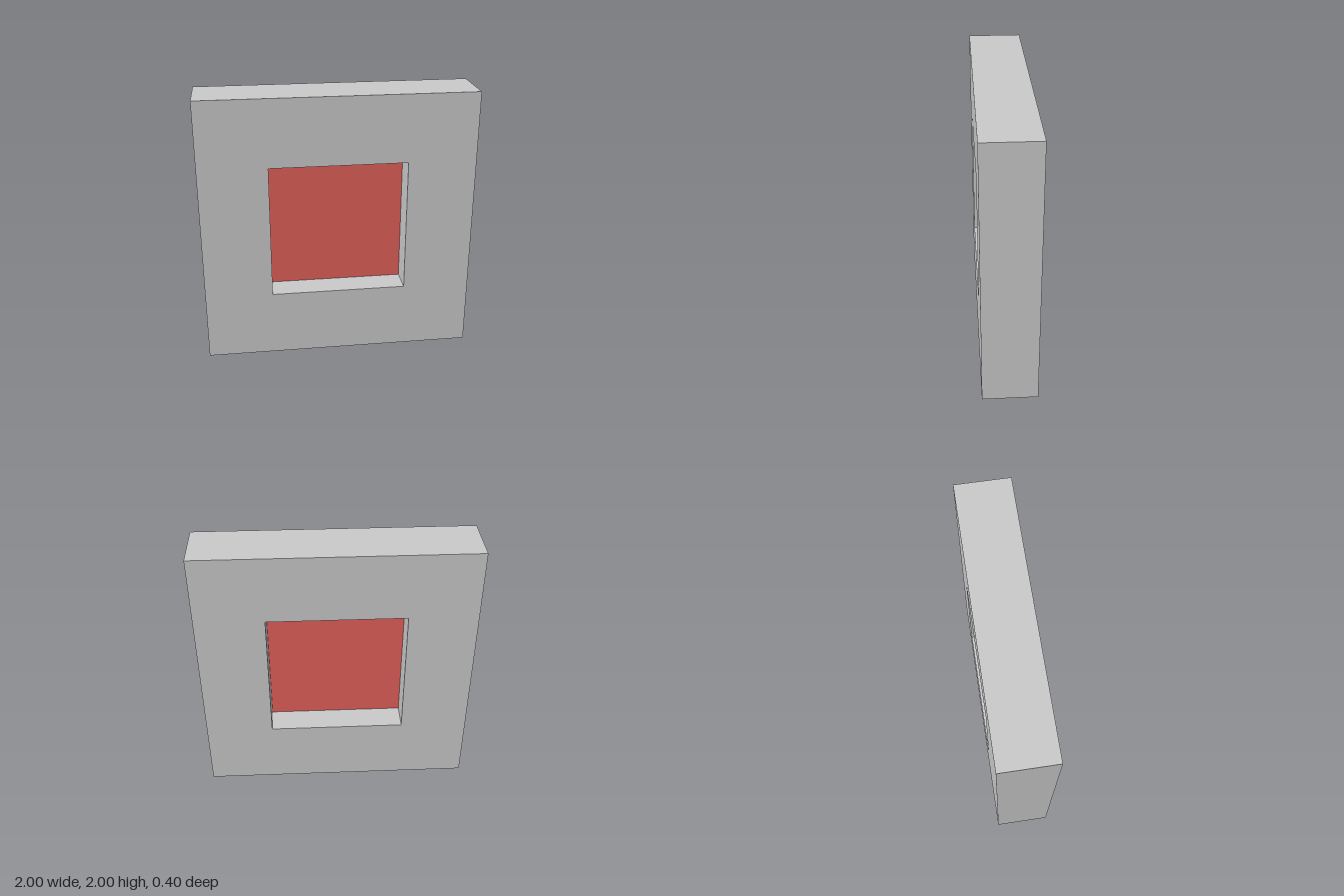
import * as THREE from 'three';

const SIZE = 2, DEPTH = 0.4, OPENING = 1;

// Square outline centred on the origin
function square(PathType, size) {
  const h = size / 2;
  return new PathType([[-h, -h], [h, -h], [h, h], [-h, h]].map(([x, y]) => new THREE.Vector2(x, y)));
}

export function createModel() {
  const model = new THREE.Group();
  model.name = 'windowBlock';

  // Thick square frame with a square opening
  const outline = square(THREE.Shape, SIZE);
  outline.holes.push(square(THREE.Path, OPENING));
  const frame = new THREE.Mesh(
    new THREE.ExtrudeGeometry(outline, { depth: DEPTH, bevelEnabled: false }),
    new THREE.MeshStandardMaterial({ color: 0xcccccc })
  );
  frame.name = 'frame';
  frame.position.set(0, SIZE / 2, -DEPTH / 2);

  // Flat pane halfway through the opening, visible from both sides
  const pane = new THREE.Mesh(
    new THREE.PlaneGeometry(OPENING, OPENING),
    new THREE.MeshStandardMaterial({ color: 0xe4615b, side: THREE.DoubleSide })
  );
  pane.name = 'pane';
  pane.position.y = SIZE / 2;

  model.add(frame, pane);
  return model;
}
